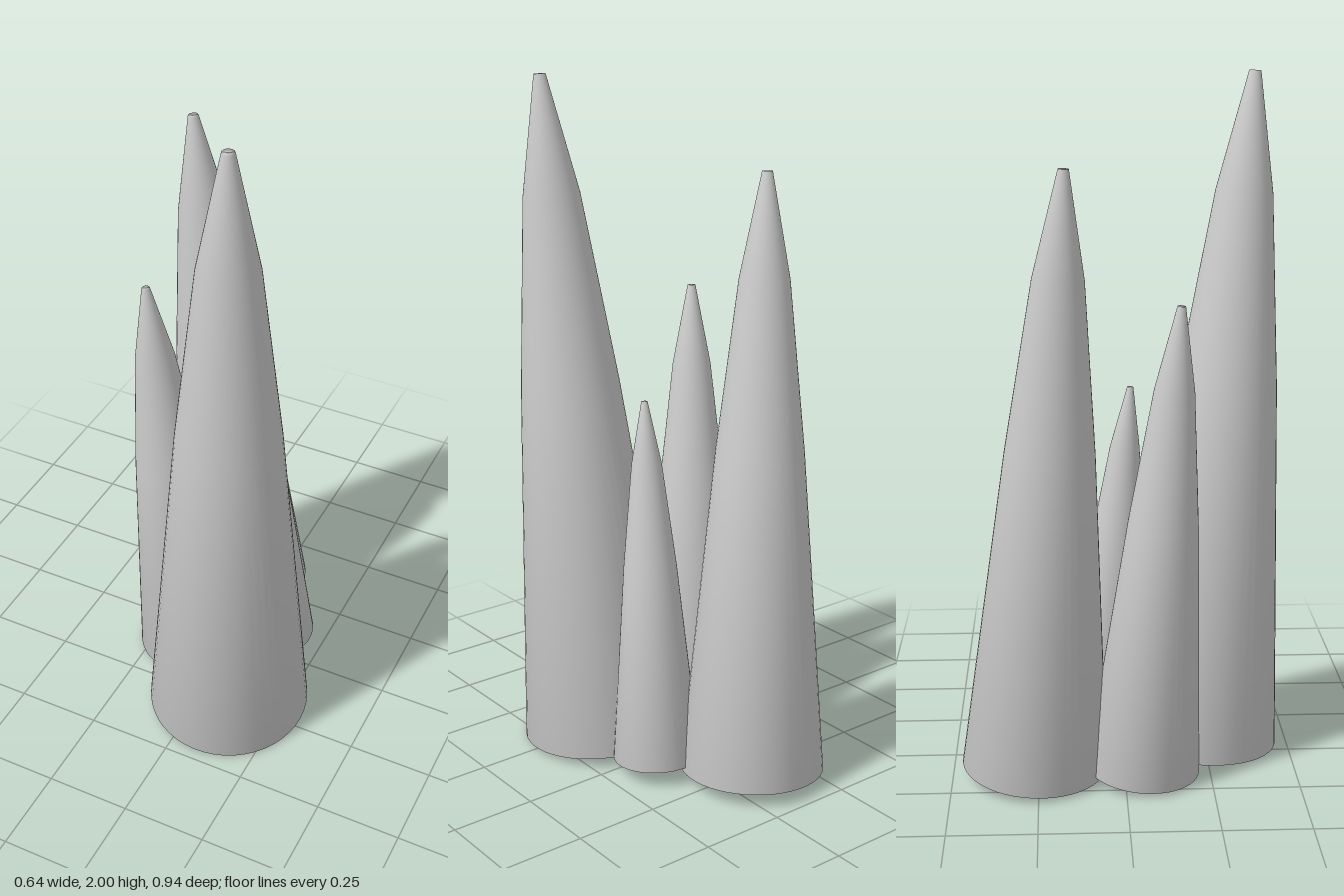
import * as THREE from 'three';

// Spike profile: [radius / base radius, height fraction]
const PROFILE = [[0, 0], [1, 0], [0.6, 0.55], [0.34, 0.83], [0.07, 1], [0, 1]];

// Tapered spike whose axis runs from the base centre to the tip
function makeSpike(name, radius, base, tip) {
  const from = new THREE.Vector3(...base);
  const axis = new THREE.Vector3(...tip).sub(from);
  const length = axis.length();
  const points = PROFILE.map(([r, t]) => new THREE.Vector2(r * radius, t * length));
  const spike = new THREE.Mesh(
    new THREE.LatheGeometry(points, 48),
    new THREE.MeshStandardMaterial({ color: 0xcccccc })
  );
  spike.name = name;
  spike.position.copy(from);
  spike.quaternion.setFromUnitVectors(new THREE.Vector3(0, 1, 0), axis.normalize());
  return spike;
}

export function createModel() {
  const model = new THREE.Group();
  model.name = 'spikeCluster';
  model.add(
    makeSpike('tallFrontSpike', 0.243, [0.078, 0.02, 0.225], [0.16, 2, 0.38]),
    makeSpike('backSpike', 0.211, [-0.11, 0.026, -0.262], [-0.215, 1.757, -0.165]),
    makeSpike('middleSpike', 0.165, [-0.137, 0.02, 0.053], [-0.204, 1.39, 0.15]),
    makeSpike('smallSpike', 0.128, [0.094, 0.04, -0.067], [0.066, 1.11, 0.024])
  );
  return model;
}
